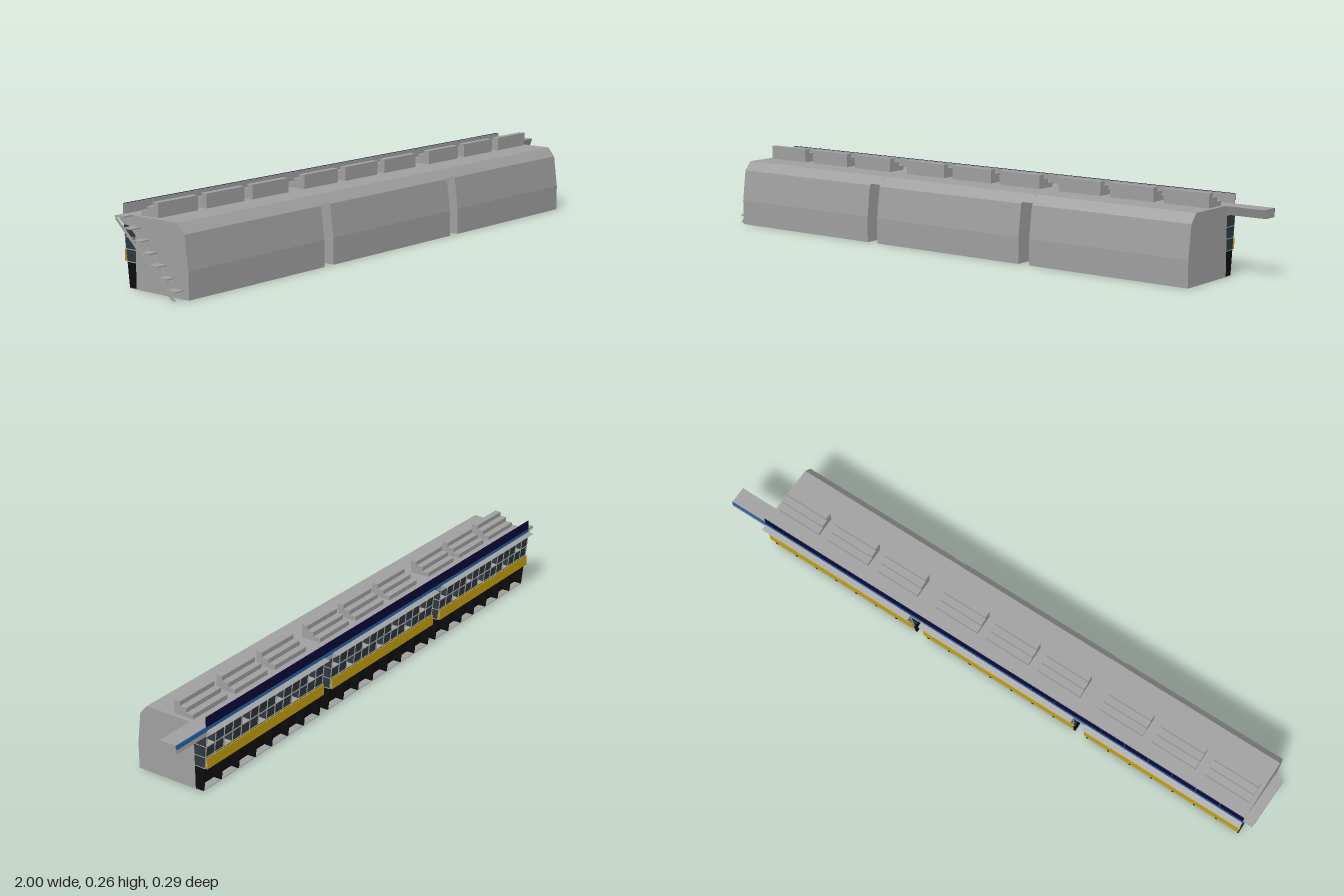
import * as THREE from 'three';

const mat = (name, color, side = THREE.FrontSide) => {
  const m = new THREE.MeshStandardMaterial({ color, side });
  m.name = name;
  return m;
};

export function createModel() {
  const concrete = mat('concrete grey', 0xa0a0a0);
  const black = mat('garage black', 0x0c0c0c);
  const glass = mat('dark glass', 0x2d393f);
  const yellow = mat('balcony yellow', 0xc4a008);
  const navy = mat('banner navy', 0x0a0838);
  const blue = mat('stripe blue', 0x1f5c9c);

  const model = new THREE.Group();
  model.name = 'pitBuilding';

  // Prism along x from a list of [z, y] profile points
  const prism = (parent, name, material, profile, x0, x1) => {
    const shape = new THREE.Shape(profile.map(([z, y]) => new THREE.Vector2(-z, y)));
    const g = new THREE.ExtrudeGeometry(shape, { depth: x1 - x0, bevelEnabled: false });
    g.rotateY(Math.PI / 2).translate(x0, 0, 0);
    const mesh = new THREE.Mesh(g, material);
    mesh.name = name;
    parent.add(mesh);
    return mesh;
  };
  // Box given by its limits
  const box = (parent, name, material, x0, x1, y0, y1, z0, z1) =>
    prism(parent, name, material, [[z0, y0], [z1, y0], [z1, y1], [z0, y1]], x0, x1);

  const X0 = -0.967, X1 = 0.865;
  const blocks = [[X0, -0.385], [-0.343, 0.243], [0.285, X1]];
  const WALL = -0.072;                        // rear wall of the solid body
  const slope = y => -0.1 - (y / 0.19) * 0.02; // leaning rear face
  const rows = [0.08, 0.117, 0.153, 0.19];
  const BAYS = 7, COLS = 14;

  blocks.forEach(([a, b]) => {
    const block = new THREE.Group();
    block.name = 'buildingBlock';
    model.add(block);

    // Solid body with leaning front
    prism(block, 'body', concrete, [[0.145, 0], [0.145, 0.085], [0.131, 0.19],
      [0.105, 0.22], [-0.06, 0.22], [WALL, 0.19], [WALL, 0]], a, b);

    // Garage bays: grey floor, black back wall and partitions
    box(block, 'garageFloor', concrete, a, b, 0, 0.002, slope(0), WALL);
    box(block, 'garageBack', black, a, b, 0.002, 0.078, WALL - 0.002, WALL);
    for (let i = 0; i <= BAYS; i++) {
      const x = a + (b - a - 0.006) * i / BAYS;
      prism(block, 'garagePartition', black, [[WALL, 0.002], [slope(0), 0.002],
        [slope(0.078), 0.078], [WALL, 0.078]], x, x + 0.006);
    }

    // Floor slabs
    rows.forEach(y => box(block, 'floorSlab', concrete, a, b, y - 0.002, y + 0.001, slope(y) - 0.002, WALL));

    // Glazed storeys, with some cells left open
    const w = (b - a) / COLS;
    for (let r = 0; r < 3; r++) {
      const y0 = rows[r] + 0.001, y1 = rows[r + 1] - 0.002;
      const room = [[WALL, y0], [slope(y0), y0], [slope(y1), y1], [WALL, y1]];
      prism(block, 'endGlass', glass, room, a, a + 0.002);
      prism(block, 'endGlass', glass, room, b - 0.002, b);
      box(block, 'innerGlass', glass, a, b, y0, y1, WALL - 0.002, WALL);
      for (let c = 0; c < COLS; c++) {
        const x = a + c * w;
        if (c > 0) prism(block, 'roomDivider', glass, room, x - 0.001, x + 0.001);
        if ((c + 2 * r) % 4 === 1) continue;
        prism(block, 'windowPane', glass, [[slope(y0) + 0.002, y0], [slope(y0), y0],
          [slope(y1), y1], [slope(y1) + 0.002, y1]], x + 0.002, x + w - 0.002);
      }
    }

    // Leaning mullions
    for (let c = 0; c <= COLS; c++) {
      const x = a + (b - a - 0.003) * c / COLS;
      prism(block, 'mullion', concrete, [[slope(0.08), 0.08], [slope(0.08) - 0.002, 0.08],
        [slope(0.19) - 0.002, 0.19], [slope(0.19), 0.19]], x, x + 0.003);
    }

    // Yellow balcony front and pointed eave
    box(block, 'balconyFront', yellow, a, b, 0.08, 0.115, -0.119, -0.116);
    prism(block, 'eave', concrete, [[-0.117, 0.21], [-0.117, 0.19], [-0.124, 0.19], [-0.143, 0.205]], a, b);

    // Stepped seating on the roof
    const mid = (a + b) / 2;
    for (let i = -1; i <= 1; i++) {
      const x = mid + i * 0.196;
      prism(block, 'roofSteps', concrete, [[0.01, 0.22], [0.01, 0.265], [-0.012, 0.265],
        [-0.012, 0.25], [-0.036, 0.25], [-0.036, 0.235], [-0.06, 0.235], [-0.06, 0.22]], x - 0.08, x + 0.08);
    }
  });

  // Roof bridges over the passages
  for (let i = 0; i < 2; i++) {
    prism(model, 'roofBridge', concrete, [[0.127, 0.195], [0.106, 0.22], [-0.06, 0.22],
      [-0.07, 0.195]], blocks[i][1], blocks[i + 1][0]);
  }

  // Rear canopy continuing as an arm past the end
  const canopy = [[-0.06, 0.22], [-0.118, 0.22], [-0.122, 0.192], [-0.071, 0.192]];
  prism(model, 'rearCanopy', concrete, canopy, X0, X1);
  prism(model, 'canopyArm', concrete, canopy, X1, 1);
  prism(model, 'blueStripe', blue, [[-0.118, 0.219], [-0.121, 0.219], [-0.123, 0.207], [-0.119, 0.207]], X0, 1);

  // Parapet with banner panels
  box(model, 'parapet', concrete, X0, X1, 0.22, 0.25, -0.118, -0.116);
  const PANELS = 21, pw = (X1 - X0) / PANELS;
  for (let i = 0; i < PANELS; i++) {
    const x = X0 + i * pw;
    box(model, 'bannerPanel', navy, x + 0.001, x + pw - 0.001, 0.219, 0.251, -0.121, -0.118);
  }

  // Outside staircase on the end wall
  const stairs = new THREE.Group();
  stairs.name = 'outsideStairs';
  model.add(stairs);
  const STEPS = 7, run = 0.245 / STEPS;
  for (let i = 0; i < STEPS; i++) {
    const y = 0.22 - i * 0.032, z = -0.12 + i * run;
    box(stairs, 'tread', concrete, -1, X0, y - 0.004, y, z, z + run);
  }
  for (const x of [-1, X0 - 0.002]) {
    prism(stairs, 'stringer', concrete, [[-0.12, 0.22], [-0.12, 0.208], [0.11, 0],
      [0.125, 0]], x, x + 0.002);
  }
  return model;
}
